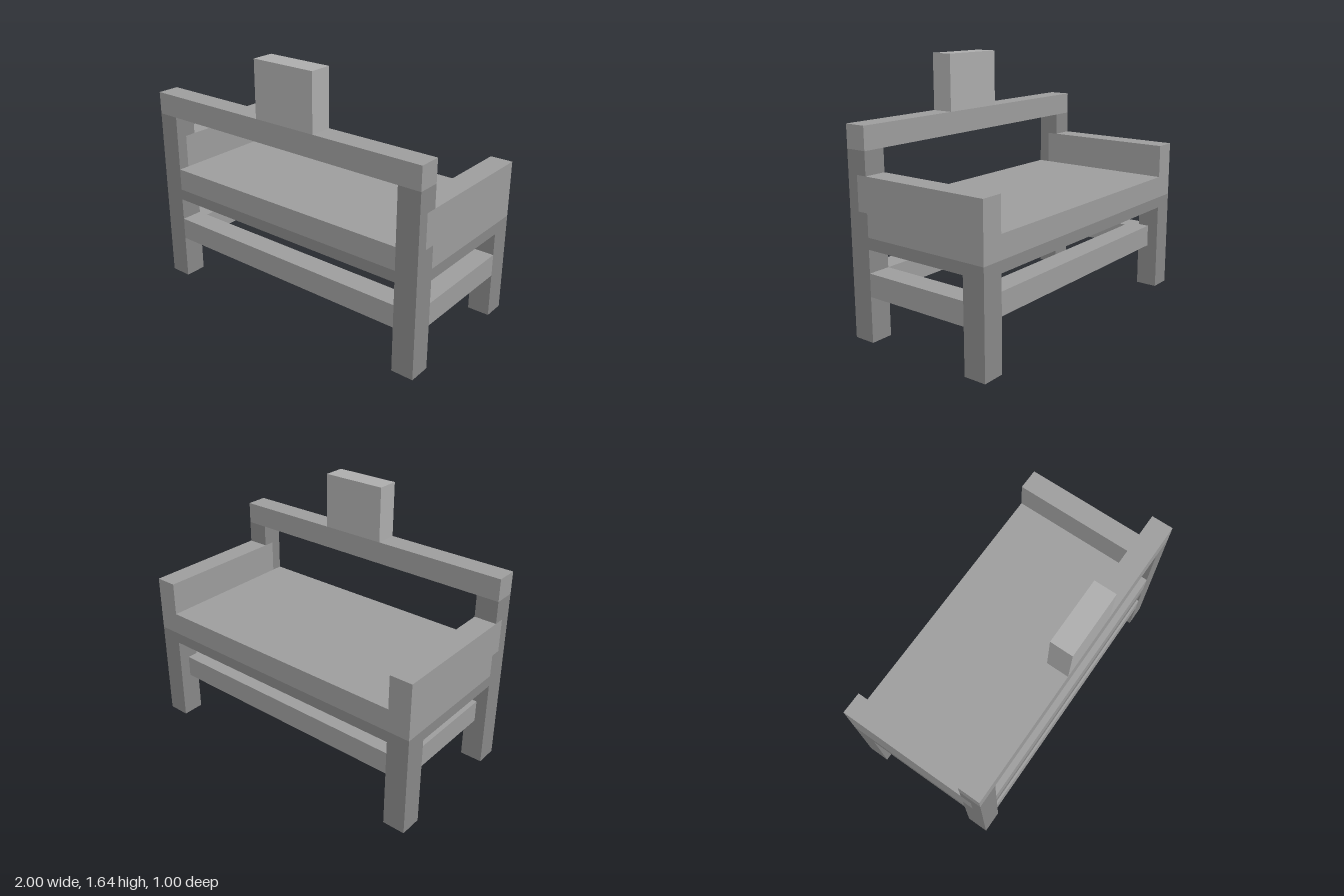
import * as THREE from 'three';

// All parts are boxes on a grid of 1/7 unit.
const U = 1 / 7;

export function createModel() {
  const group = new THREE.Group();
  group.name = 'bench';
  const grey = (color) => new THREE.MeshStandardMaterial({ color, flatShading: true });
  const dark = grey(0x898989);
  const medium = grey(0x9f9f9f);
  const light = grey(0xafafaf);

  // Box from min/max ranges given in grid units
  const box = (name, material, [x0, x1], [y0, y1], [z0, z1]) => {
    const geometry = new THREE.BoxGeometry((x1 - x0) * U, (y1 - y0) * U, (z1 - z0) * U);
    const mesh = new THREE.Mesh(geometry, material);
    mesh.position.set((x0 + x1) * U / 2, (y0 + y1) * U / 2, (z0 + z1) * U / 2);
    mesh.name = name;
    group.add(mesh);
  };

  // Paired parts on both sides; the tall post is notched to take the armrest
  for (const [side, x] of [['left', [6, 7]], ['right', [-7, -6]]]) {
    box(side + 'PostLower', dark, x, [0, 5.5], [2.5, 3.5]);
    box(side + 'PostNotch', dark, x, [5.5, 7], [3, 3.5]);
    box(side + 'PostUpper', dark, x, [7, 8], [2.5, 3.5]);
    box(side + 'ShortLeg', dark, x, [0, 4.5], [-3.5, -2.5]);
    box(side + 'Apron', dark, x, [4, 4.5], [-2.5, 2.5]);
    box(side + 'Armrest', medium, x, [5.5, 7], [-3.5, 3]);
  }

  // Aprons under the seat between the legs
  box('frontApron', dark, [-6, 6], [4, 4.5], [2.5, 3.5]);
  box('backApron', dark, [-6, 6], [4, 4.5], [-3.5, -2.5]);

  // Seat slab, narrower between the tall posts
  box('seat', medium, [-7, 7], [4.5, 5.5], [-3.5, 2.5]);
  box('seatEdge', medium, [-6, 6], [4.5, 5.5], [2.5, 3.5]);

  // Stretchers: two flush with the legs, two set in by half a leg
  box('frontStretcher', medium, [-6, 6], [2, 3], [2.5, 3.5]);
  box('backStretcher', medium, [-6, 6], [2, 3], [-3, -2]);
  box('leftStretcher', medium, [6, 7], [2, 3], [-2.5, 2.5]);
  box('rightStretcher', medium, [-6.5, -5.5], [2, 3], [-2.5, 2.5]);

  // Top rail and the off-centre block on it
  box('topRail', medium, [-7, 7], [8, 9], [2.5, 3.5]);
  box('headBlock', light, [-1, 2], [9, 11.5], [2.5, 3.5]);

  return group;
}
